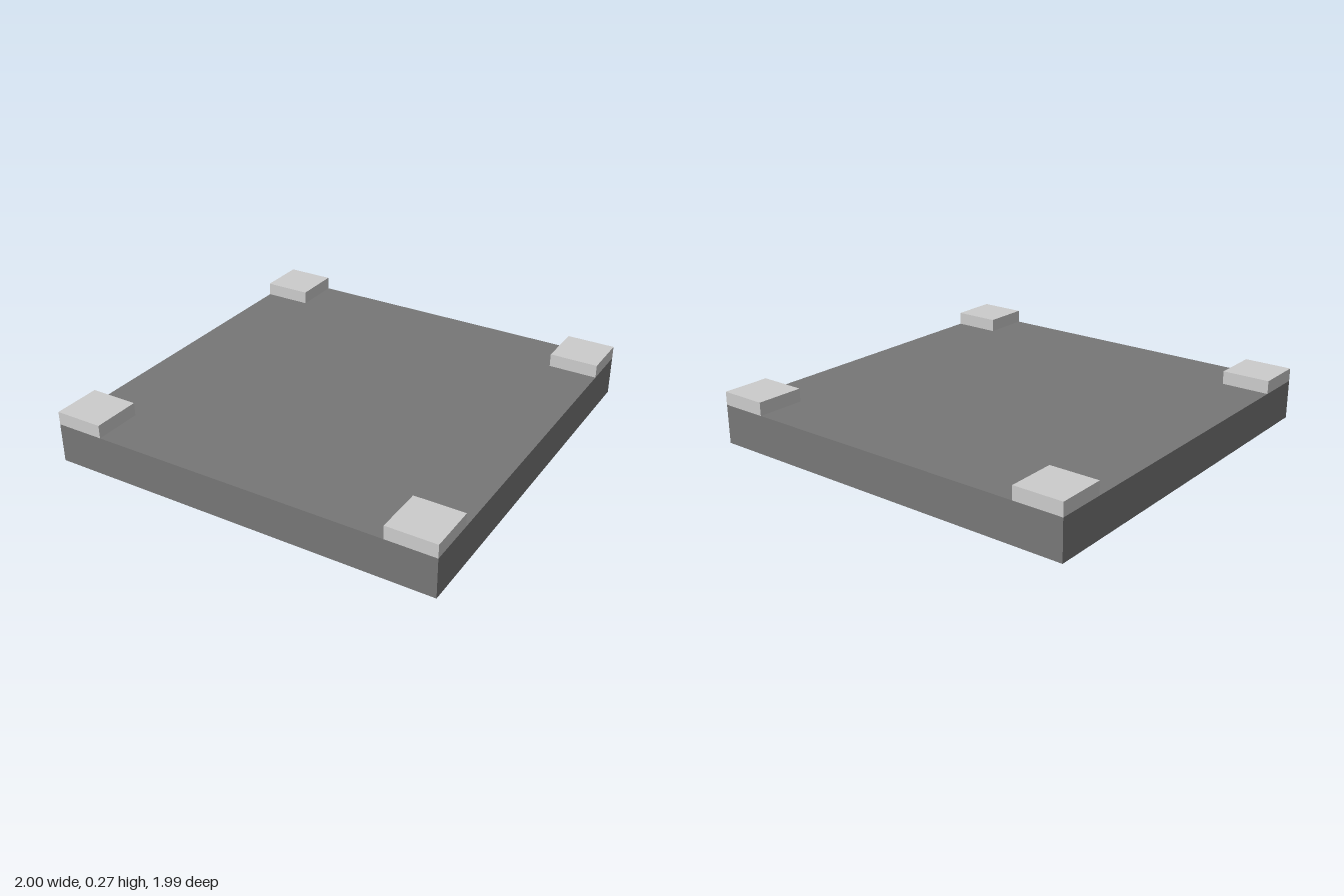
import * as THREE from 'three';

const WIDTH = 2, DEPTH = 1.99, SLAB_HEIGHT = 0.2;
const PAD = 0.248, PAD_HEIGHT = 0.067;

export function createModel() {
  const model = new THREE.Group();
  model.name = 'slabWithCornerPads';
  const slabMaterial = new THREE.MeshStandardMaterial({ color: 0x777777 });
  const padMaterial = new THREE.MeshStandardMaterial({ color: 0xcccccc });

  // Square base slab
  const slab = new THREE.Mesh(new THREE.BoxGeometry(WIDTH, SLAB_HEIGHT, DEPTH), slabMaterial);
  slab.name = 'slab';
  slab.position.y = SLAB_HEIGHT / 2;
  model.add(slab);

  // Low square pad on each corner, flush with the slab's sides
  const padGeometry = new THREE.BoxGeometry(PAD, PAD_HEIGHT, PAD);
  for (const [sx, side] of [[1, 'Left'], [-1, 'Right']]) {
    for (const [sz, end] of [[1, 'front'], [-1, 'back']]) {
      const pad = new THREE.Mesh(padGeometry, padMaterial);
      pad.name = `${end}${side}Pad`;
      pad.position.set(
        sx * (WIDTH - PAD) / 2,
        SLAB_HEIGHT + PAD_HEIGHT / 2,
        sz * (DEPTH - PAD) / 2
      );
      model.add(pad);
    }
  }
  return model;
}
